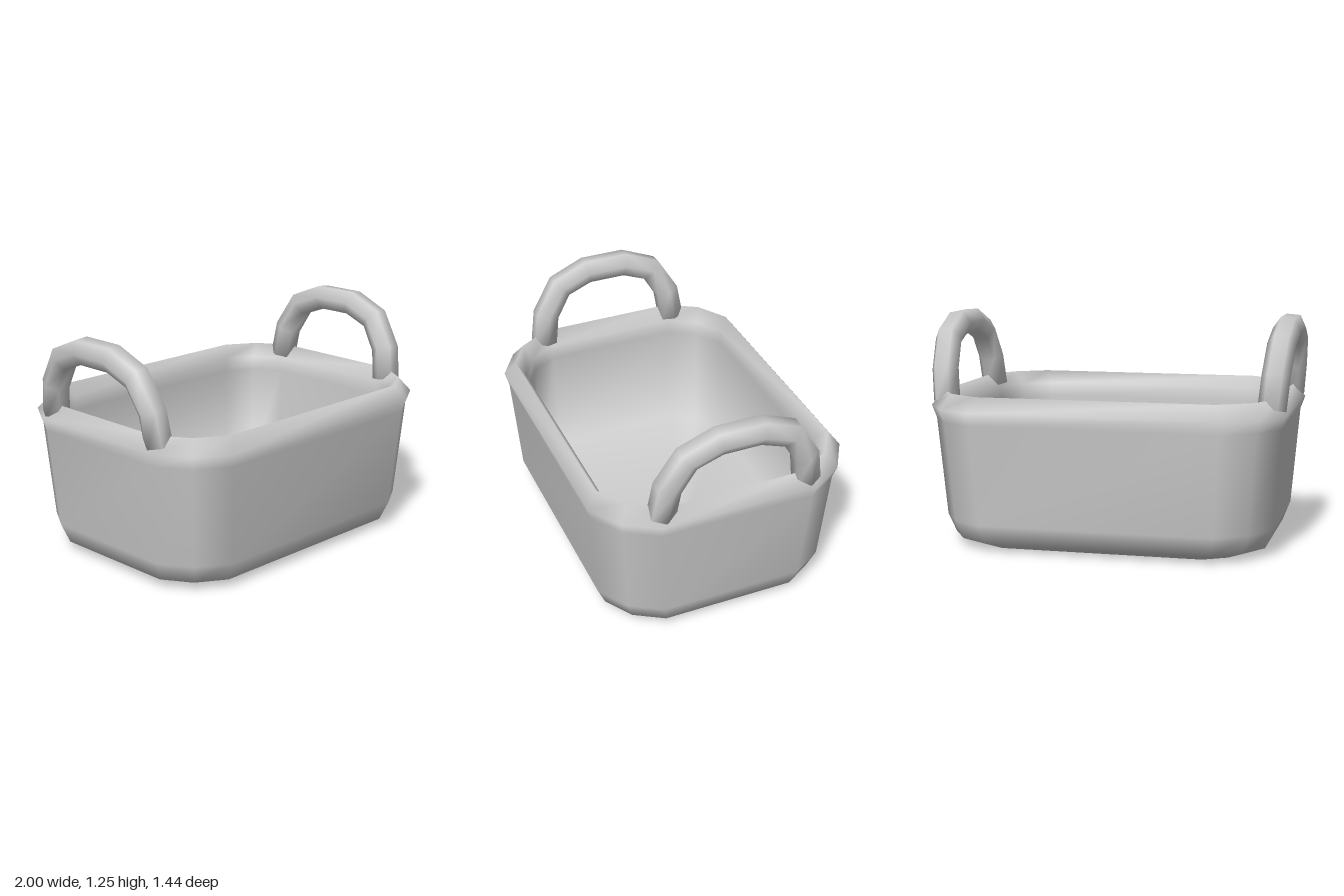
import * as THREE from 'three';

const material = new THREE.MeshStandardMaterial({ color: 0xcccccc });

// Skin a list of equal-length rings and cap both ends, with smooth normals
function loft(rings) {
  const n = rings[0].length, last = (rings.length - 1) * n, index = [];
  for (let i = 0; i < rings.length - 1; i++) {
    for (let j = 0; j < n; j++) {
      const a = i * n + j, b = i * n + (j + 1) % n, c = a + n, d = b + n;
      index.push(a, c, b, b, c, d);
    }
  }
  for (let j = 1; j < n - 1; j++) {
    index.push(0, j, j + 1, last, last + j + 1, last + j);
  }
  const geometry = new THREE.BufferGeometry().setFromPoints(rings.flat());
  geometry.setIndex(index);
  geometry.computeVertexNormals();
  return geometry;
}

// Rectangle in the xz plane with two-facet rounded corners
function roundedRing(y, hx, hz, r) {
  const m = r * 0.38, ring = [];
  const corner = [[hx, hz - r], [hx - m, hz - m], [hx - r, hz]];
  for (const [sx, sz] of [[1, 1], [-1, 1], [-1, -1], [1, -1]]) {
    const points = sx * sz > 0 ? corner : [...corner].reverse();
    for (const [x, z] of points) ring.push(new THREE.Vector3(sx * x, y, sz * z));
  }
  return ring;
}

// Hexagonal bar swept along a leaning arch
function handleGeometry() {
  const half = [[0.785, 0.405], [0.955, 0.38], [1.115, 0.283], [1.182, 0.115]];
  const arch = [...half, ...half.map(([y, z]) => [y, -z]).reverse()];
  const lean = 0.09, radius = 0.076;
  const path = arch.map(([y, z]) => new THREE.Vector3(0.89 + (y - 0.785) * lean, y, z));
  const u = new THREE.Vector3(1, -lean, 0).normalize();
  const rings = path.map((p, i) => {
    const before = p.clone().sub(path[Math.max(i - 1, 0)]).normalize();
    const after = path[Math.min(i + 1, path.length - 1)].clone().sub(p).normalize();
    const v = u.clone().cross(before.add(after).normalize());
    return Array.from({ length: 6 }, (_, k) => {
      const t = k * Math.PI / 3;
      return p.clone()
        .addScaledVector(u, radius * Math.cos(t))
        .addScaledVector(v, radius * Math.sin(t));
    });
  });
  return loft(rings);
}

export function createModel() {
  const group = new THREE.Group();
  group.name = 'basket';

  // Tub: up the outside, over the rolled rim, down the inside to the floor
  const profile = [
    [0, 0.75, 0.51, 0.2],
    [0.045, 0.86, 0.615, 0.25],
    [0.15, 0.9, 0.66, 0.27],
    [0.69, 0.945, 0.7, 0.28],
    [0.76, 0.97, 0.72, 0.29],
    [0.84, 0.91, 0.66, 0.27],
    [0.77, 0.84, 0.615, 0.24],
    [0.69, 0.835, 0.612, 0.24],
    [0.1, 0.8, 0.59, 0.23],
  ];
  const tub = new THREE.Mesh(loft(profile.map((p) => roundedRing(...p))), material);
  tub.name = 'tub';
  group.add(tub);

  // Two arched handles on the short sides
  const arch = handleGeometry();
  for (const [name, angle] of [['leftHandle', 0], ['rightHandle', Math.PI]]) {
    const handle = new THREE.Mesh(arch, material);
    handle.name = name;
    handle.rotation.y = angle;
    group.add(handle);
  }
  return group;
}
